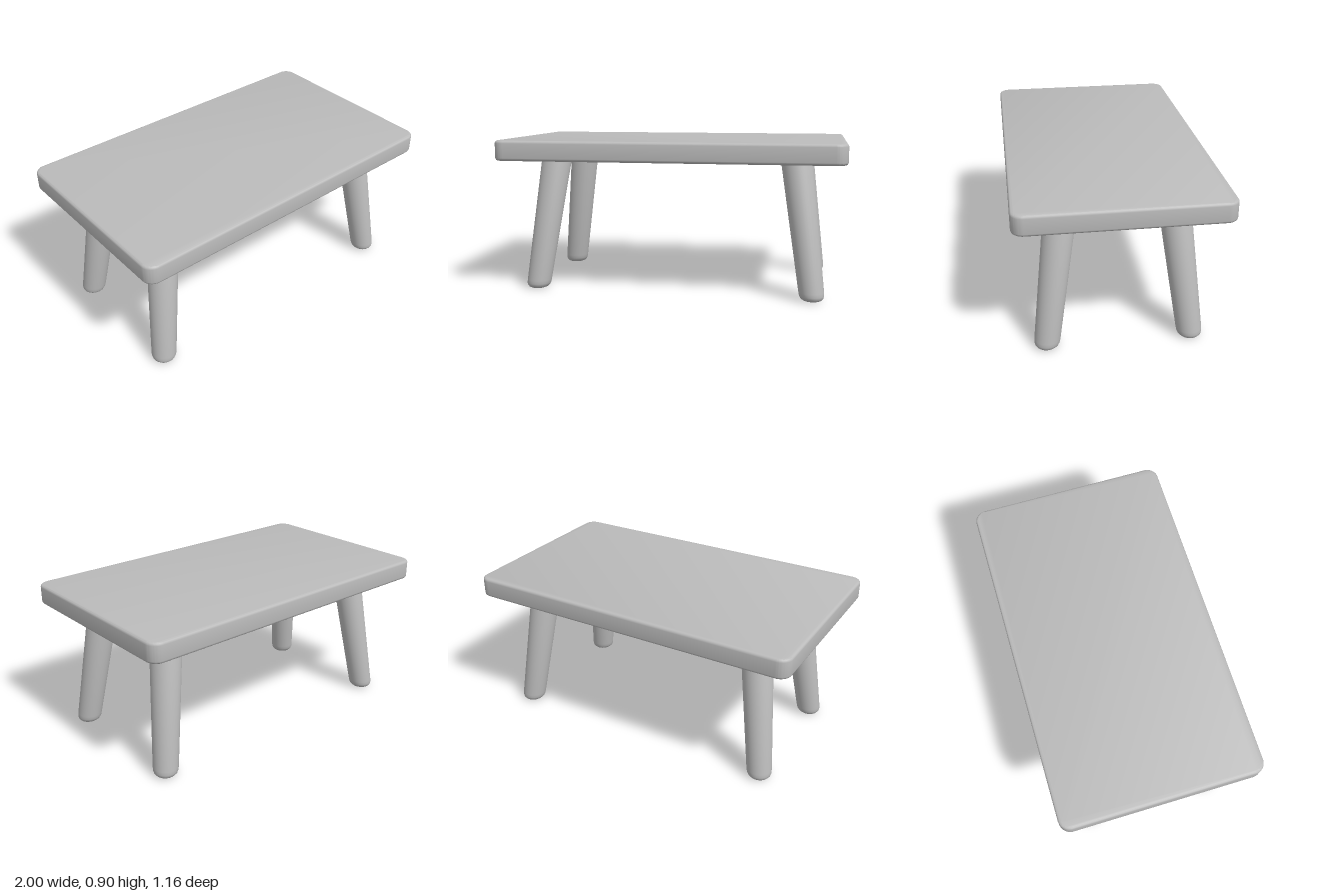
import * as THREE from 'three';
import { toCreasedNormals } from 'three/addons/utils/BufferGeometryUtils.js';

const LEG_TOP = 0.8;

// Slab with rounded corners and softened edges
function tabletopGeometry() {
  const bevel = 0.016, x = 1 - bevel, z = 0.578 - bevel, r = 0.05;
  const shape = new THREE.Shape();
  shape.moveTo(-x + r, -z);
  shape.lineTo(x - r, -z);
  shape.absarc(x - r, -z + r, r, -Math.PI / 2, 0);
  shape.absarc(x - r, z - r, r, 0, Math.PI / 2);
  shape.absarc(-x + r, z - r, r, Math.PI / 2, Math.PI);
  shape.absarc(-x + r, -z + r, r, Math.PI, Math.PI * 1.5);
  const geometry = new THREE.ExtrudeGeometry(shape, {
    depth: 0.116 - 2 * bevel, bevelEnabled: true, bevelSize: bevel,
    bevelThickness: bevel, bevelSegments: 4, curveSegments: 8,
  });
  geometry.rotateX(-Math.PI / 2);
  geometry.translate(0, 0.78 + bevel, 0);
  return toCreasedNormals(geometry, 0.7);
}

// Tapered leg with a rounded foot, leaning from foot [x, z] to top [x, z]
function legGeometry(foot, top) {
  const profile = [
    [0, 0], [0.044, 0.002], [0.056, 0.007], [0.066, 0.017], [0.071, 0.03],
    [0.0725, 0.05], [0.09, LEG_TOP], [0, LEG_TOP],
  ].map(([r, y]) => new THREE.Vector2(r, y));
  const geometry = new THREE.LatheGeometry(profile, 28);
  const dx = (top[0] - foot[0]) / LEG_TOP;
  const dz = (top[1] - foot[1]) / LEG_TOP;
  return geometry.applyMatrix4(new THREE.Matrix4().set(
    1, dx, 0, foot[0],
    0, 1, 0, 0,
    0, dz, 1, foot[1],
    0, 0, 0, 1,
  ));
}

export function createModel() {
  const table = new THREE.Group();
  table.name = 'table';
  const grey = new THREE.MeshStandardMaterial({ color: 0xbbbbbb });
  grey.name = 'plain grey';

  const add = (name, geometry) => {
    const mesh = new THREE.Mesh(geometry, grey);
    mesh.name = name;
    table.add(mesh);
  };

  add('tabletop', tabletopGeometry());

  // Four splayed legs
  const legs = {
    frontLeftLeg: [[0.825, 0.413], [0.718, 0.31]],
    frontRightLeg: [[-0.815, 0.373], [-0.708, 0.276]],
    backLeftLeg: [[0.825, -0.393], [0.718, -0.295]],
    backRightLeg: [[-0.815, -0.393], [-0.708, -0.293]],
  };
  for (const [name, [foot, top]] of Object.entries(legs)) add(name, legGeometry(foot, top));

  return table;
}
